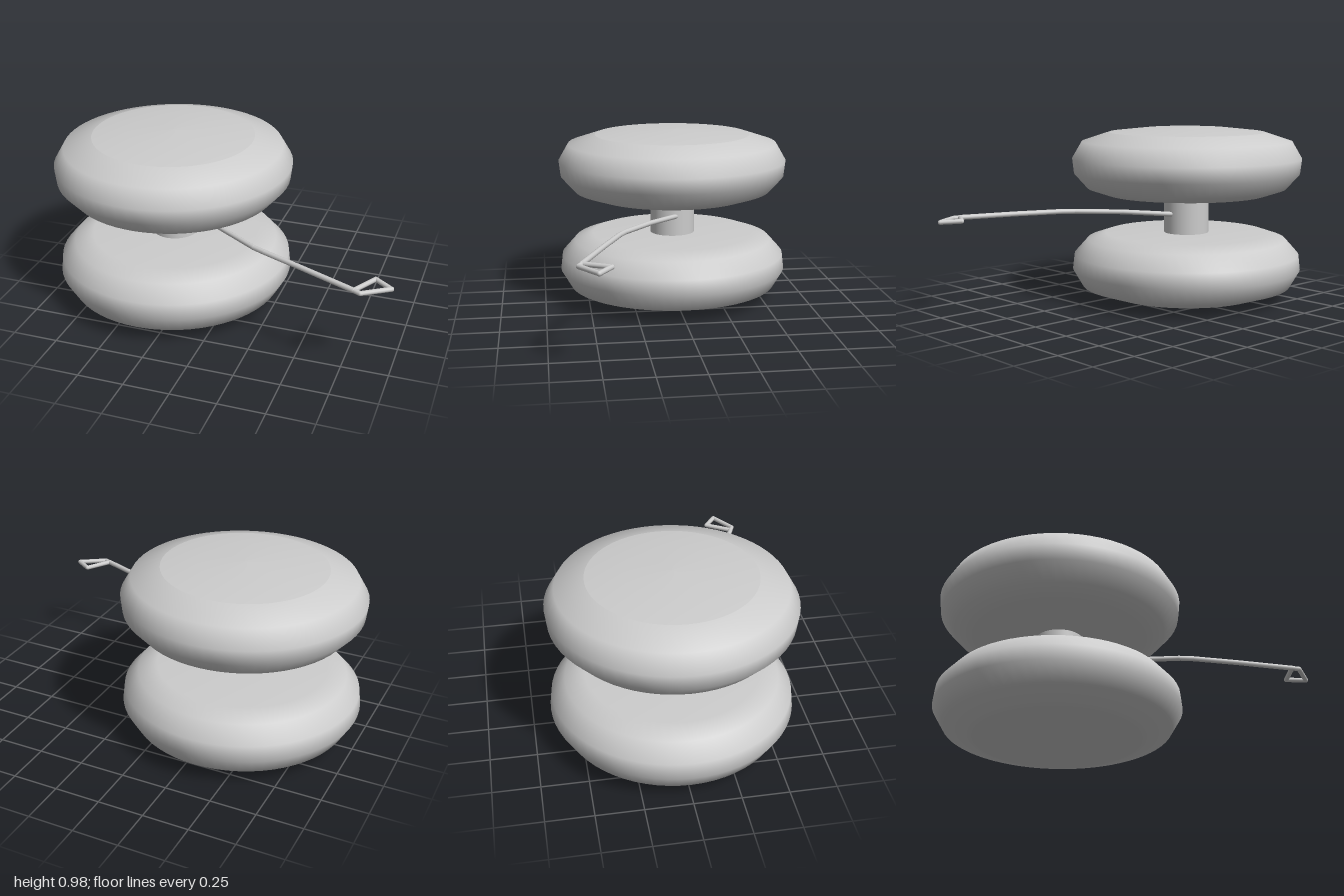
import * as THREE from 'three';

const AXIS_X = -0.345; // centre line of the two discs
const MID_Y = 0.4925; // mirror plane between the discs

export function createModel() {
  const root = new THREE.Group();
  root.name = 'yoyo';
  const grey = new THREE.MeshStandardMaterial({ color: 0xcccccc });
  grey.name = 'plain grey';

  const add = (geometry, name, parent = root) => {
    const mesh = new THREE.Mesh(geometry, grey);
    mesh.name = name;
    parent.add(mesh);
    return mesh;
  };

  // Profiles as [radius, height above the mirror plane], from inside to outside
  const discProfile = [
    [0, 0.1125], [0.465, 0.1125], [0.57, 0.148], [0.645, 0.232],
    [0.655, 0.318], [0.6, 0.413], [0.445, 0.464],
  ];
  const capProfile = [[0.445, 0.464], [0.25, 0.485], [0, 0.491]];

  const lathe = (profile, side) => {
    const points = profile.map(([r, h]) => new THREE.Vector2(r, side * h));
    if (side < 0) points.reverse(); // keep faces outward on the mirrored half
    return new THREE.LatheGeometry(points, 64);
  };

  // Two mirrored discs, each with a shallow domed cap
  for (const side of [1, -1]) {
    const half = new THREE.Group();
    half.name = side > 0 ? 'upperHalf' : 'lowerHalf';
    half.position.set(AXIS_X, MID_Y, 0);
    add(lathe(discProfile, side), 'disc', half);
    add(lathe(capProfile, side), 'domedCap', half);
    root.add(half);
  }

  // Axle joining the discs
  add(new THREE.CylinderGeometry(0.128, 0.128, 0.24, 32), 'axle').position.set(AXIS_X, MID_Y, 0);

  // String running out from the axle, ending in a small finger loop
  const cord = new THREE.Group();
  cord.name = 'string';
  root.add(cord);
  const up = new THREE.Vector3(0, 1, 0);
  const addCord = (coords, radius, name) => {
    const points = coords.map((c) => new THREE.Vector3(...c));
    points.forEach((p, i) => {
      add(new THREE.SphereGeometry(radius, 10, 8), name + 'Joint', cord).position.copy(p);
      if (i === 0) return;
      const run = p.clone().sub(points[i - 1]);
      const segment = add(
        new THREE.CylinderGeometry(radius, radius, run.length(), 10, 1, true), name + 'Segment', cord);
      segment.position.copy(p).add(points[i - 1]).multiplyScalar(0.5);
      segment.quaternion.setFromUnitVectors(up, run.normalize());
    });
  };
  addCord([
    [-0.225, 0.493, -0.005], [0, 0.51, 0.17], [0.22, 0.518, 0.325],
    [0.29, 0.52, 0.36], [0.52, 0.519, 0.458], [0.81, 0.514, 0.58],
  ], 0.014, 'cord');
  addCord([
    [0.81, 0.514, 0.58], [0.846, 0.512, 0.596], [0.982, 0.512, 0.507],
    [0.891, 0.516, 0.443], [0.81, 0.514, 0.58],
  ], 0.013, 'fingerLoop');

  return root;
}
